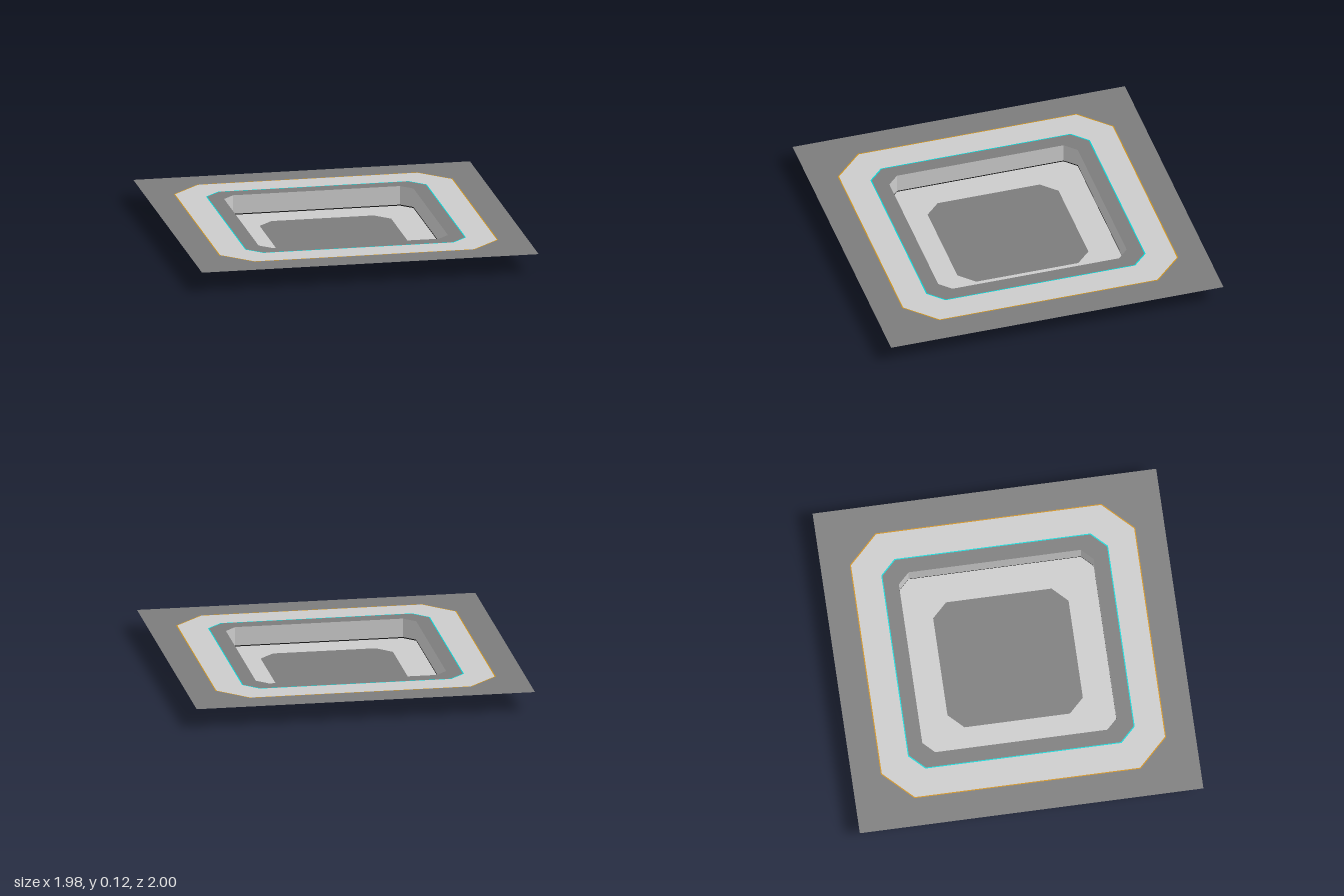
import * as THREE from 'three';

const mat = (name, color) => {
  const m = new THREE.MeshStandardMaterial({ color, side: THREE.DoubleSide });
  m.name = name;
  return m;
};

// Corners of a rectangle with cut corners; x and z are half sizes, c is the cut
function outline(x, z, c) {
  if (c === 0) return [[x, -z], [x, z], [-x, z], [-x, -z]].map(p => new THREE.Vector2(...p));
  return [
    [x, -z + c], [x, z - c], [x - c, z], [-x + c, z],
    [-x, z - c], [-x, -z + c], [-x + c, -z], [x - c, -z],
  ].map(p => new THREE.Vector2(...p));
}

// Flat horizontal sheet, optionally with a hole
function sheet(name, material, y, outer, inner) {
  const shape = new THREE.Shape(outline(...outer));
  if (inner) shape.holes.push(new THREE.Path(outline(...inner)));
  const geo = new THREE.ShapeGeometry(shape).rotateX(-Math.PI / 2).translate(0, y, 0);
  const mesh = new THREE.Mesh(geo, material);
  mesh.name = name;
  return mesh;
}

// Flat-sided upright band following an outline
function band(name, material, size, y0, y1) {
  const pts = outline(...size);
  const pos = [];
  pts.forEach((a, i) => {
    const b = pts[(i + 1) % pts.length];
    const A = [a.x, y0, -a.y], B = [b.x, y0, -b.y];
    const C = [b.x, y1, -b.y], D = [a.x, y1, -a.y];
    pos.push(...A, ...B, ...C, ...A, ...C, ...D);
  });
  const geo = new THREE.BufferGeometry();
  geo.setAttribute('position', new THREE.Float32BufferAttribute(pos, 3));
  geo.computeVertexNormals();
  const mesh = new THREE.Mesh(geo, material);
  mesh.name = name;
  return mesh;
}

export function createModel() {
  const dark = mat('dark grey', 0x7c7c7c);
  const light = mat('light grey', 0xcbcbcb);
  const orange = mat('orange', 0xd0931a);
  const cyan = mat('cyan', 0x00d8d8);
  const black = mat('black', 0x161616);

  const top = 0.117, skirt = 0.006;
  const edge = [0.99, 1, 0];
  const orangeOut = [0.82, 0.83, 0.172], orangeIn = [0.814, 0.824, 0.169];
  const cyanOut = [0.649, 0.66, 0.089], cyanIn = [0.643, 0.654, 0.087];
  const pit = [0.557, 0.567, 0.066];
  const centre = [0.387, 0.394, 0.087];

  const group = new THREE.Group();
  group.name = 'sunkenFloor';
  group.add(
    // Upper floor, from the outside in
    sheet('outerFloor', dark, top, edge, orangeOut),
    sheet('orangeLine', orange, top, orangeOut, orangeIn),
    sheet('lightWalkway', light, top, orangeIn, cyanOut),
    sheet('cyanLine', cyan, top, cyanOut, cyanIn),
    sheet('pitRim', dark, top, cyanIn, pit),
    // Pit walls with a dark skirting at the foot
    band('pitWall', light, pit, skirt, top),
    band('skirting', black, pit, 0, skirt),
    // Pit floor
    sheet('pitFloor', light, 0, pit, centre),
    sheet('pitCentre', dark, 0, centre),
  );
  return group;
}
